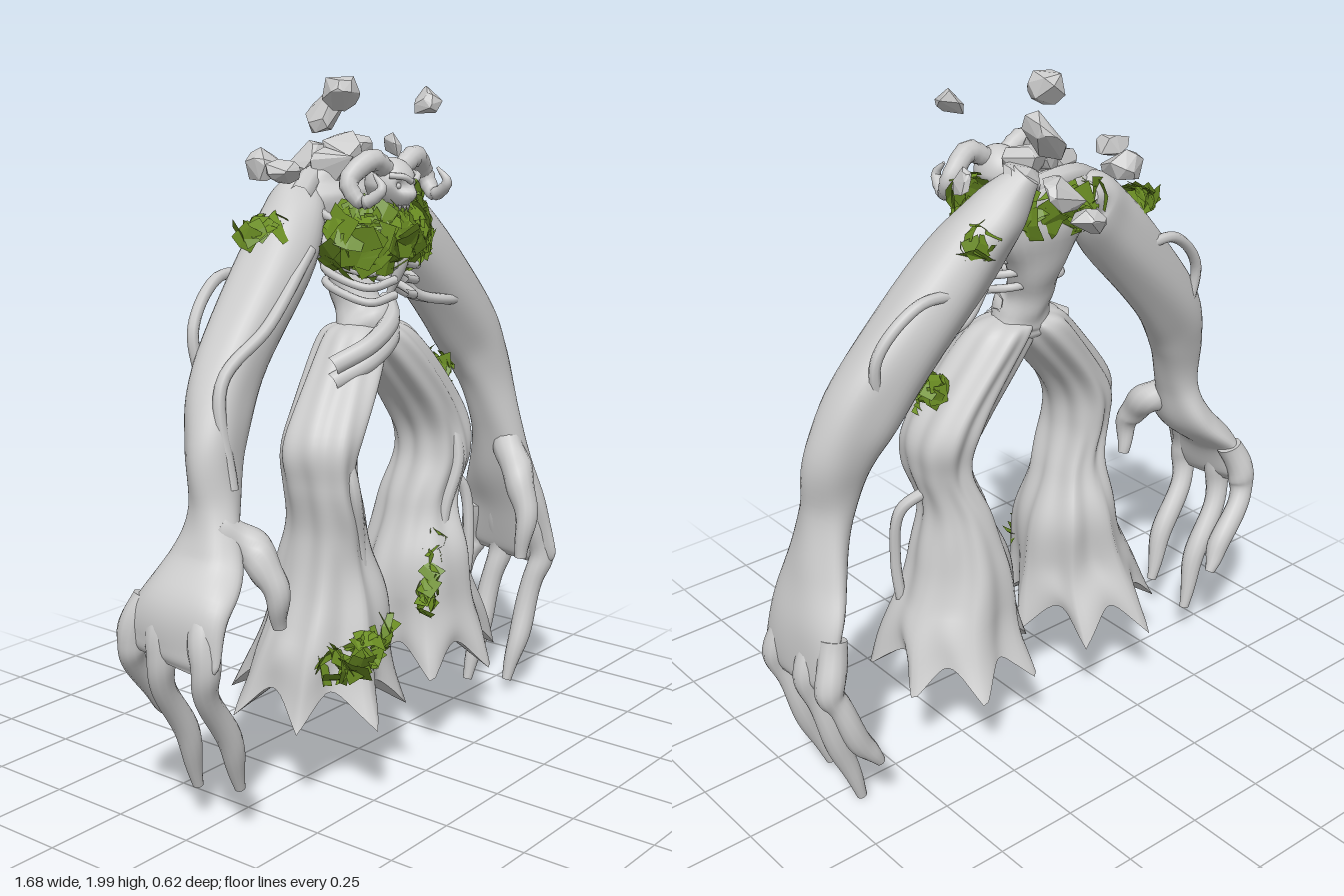
import * as THREE from 'three';
import { mergeGeometries } from 'three/addons/utils/BufferGeometryUtils.js';
import { ConvexGeometry } from 'three/addons/geometries/ConvexGeometry.js';

const V = (x, y, z) => new THREE.Vector3(x, y, z);
const { sin, cos, abs, max, min, exp, PI } = Math;
const bark = new THREE.MeshStandardMaterial({ color: 0xcccccc });
const stone = new THREE.MeshStandardMaterial({ color: 0xcccccc, flatShading: true });
const moss = new THREE.MeshStandardMaterial({ color: 0x6b8e23, side: THREE.DoubleSide, flatShading: true });

let seed = 7;
const rnd = () => (seed = (seed * 16807) % 2147483647) / 2147483647;
const jit = (s) => (rnd() - 0.5) * 2 * s;
const ball = () => V(jit(1), jit(1), jit(1)).normalize();

function add(parent, name, geo, mat = bark) {
  const m = new THREE.Mesh(geo, mat);
  m.name = name;
  parent.add(m);
  return m;
}

// Organic skin over stations [x, y, z, radius, depth factor].
// shape(t, angle) returns [radius factor, vertical shift]; flat keeps rings horizontal.
function limb(st, { rows = 32, sides = 12, shape = () => [1, 0], flat = false, apex = 0 } = {}) {
  const path = new THREE.CatmullRomCurve3(st.map((s) => V(s[0], s[1], s[2])), false, 'catmullrom');
  const radii = new THREE.CatmullRomCurve3(st.map((s) => V(s[3], s[3] * (s[4] ?? 1), 0)), false, 'catmullrom');
  const pos = [], idx = [];
  for (let i = 0; i <= rows; i++) {
    const t = i / rows, c = path.getPoint(t), r = radii.getPoint(t);
    const T = flat ? V(0, -1, 0) : path.getTangent(t);
    const N = V(0, 0, 1).addScaledVector(T, -T.z).normalize();
    const B = T.clone().cross(N);
    for (let j = 0; j < sides; j++) {
      const a = (j / sides) * PI * 2, [f, dy] = shape(t, a);
      const p = c.clone().addScaledVector(B, cos(a) * r.x * f).addScaledVector(N, sin(a) * r.y * f);
      pos.push(p.x, p.y + dy, p.z);
    }
  }
  for (let i = 0; i < rows; i++) for (let j = 0; j < sides; j++) {
    const k = (j + 1) % sides, a = i * sides + j, b = i * sides + k;
    idx.push(a, a + sides, b, b, a + sides, b + sides);
  }
  // End caps on their own vertices so the rims stay crisp; apex hollows the lower one
  for (const end of [0, 1]) {
    const base = pos.length / 3, from = end * rows * sides * 3, c = path.getPoint(end);
    pos.push(...pos.slice(from, from + sides * 3), c.x, c.y + end * apex, c.z);
    for (let j = 0; j < sides; j++) {
      const k = (j + 1) % sides;
      idx.push(base + sides, base + (end ? k : j), base + (end ? j : k));
    }
  }
  const g = new THREE.BufferGeometry();
  g.setAttribute('position', new THREE.Float32BufferAttribute(pos, 3));
  g.setIndex(idx);
  g.computeVertexNormals();
  return g;
}

const tube = (pts, r) =>
  new THREE.TubeGeometry(new THREE.CatmullRomCurve3(pts.map((p) => V(...p))), 28, r, 8);

// Muscled, slightly twisted wood
const gnarl = (amp, ph) => (t, a) =>
  [1 + amp * (sin(3 * a + 9 * t + ph) + 0.6 * sin(5 * a - 14 * t + ph) + 0.8 * sin(22 * t + ph + a) + 0.5 * sin(41 * t + 2 * a)), 0];

// Root skirt: grain deepens into seven folds that end in a ragged hem
const skirt = (ph) => (t, a) => {
  const low = max(0, 2 * t - 1), hem = max(0, t * 5 - 4), spike = abs(cos(3.5 * a + ph));
  const grain = 0.06 * (sin(4 * a + 8 * t + ph) + 0.7 * sin(9 * a - 5 * t + ph) + 0.8 * sin(24 * t + a + ph)) * (1 - 0.6 * low);
  return [1 + grain + low * (0.09 - 0.18 * spike) + hem * hem * (0.06 - 0.16 * spike), hem * 0.1 * (spike - 0.1)];
};

// Patch of jagged leaves scattered over an ellipsoid; keep() selects directions
function leaves(c, r, n, size, keep = () => true) {
  const list = [];
  while (list.length < n) {
    const d = ball();
    if (!keep(d)) continue;
    const g = new THREE.PlaneGeometry(size * (0.7 + rnd()), size * (0.7 + rnd()), 2, 1);
    const p = g.attributes.position;
    for (let i = 0; i < p.count; i++)
      p.setXYZ(i, p.getX(i) + jit(size / 7), p.getY(i) + jit(size / 7), i % 3 === 1 ? size / 8 : 0);
    g.rotateZ(rnd() * 6);
    g.applyQuaternion(new THREE.Quaternion().setFromUnitVectors(V(0, 0, 1), d.clone().addScaledVector(ball(), 0.4).normalize()));
    list.push(g.translate(c[0] + d.x * r[0], c[1] + d.y * r[1], c[2] + d.z * r[2]));
  }
  return mergeGeometries(list);
}

// Angular stone: hull of points on a squashed ball
function rock([x, y, z, w, h, tilt = 0.3]) {
  const pts = Array.from({ length: 18 }, () => ball().multiply(V(w, h, (w + h) / 2)));
  return new ConvexGeometry(pts).rotateZ(tilt).translate(x, y, z);
}

export function createModel() {
  seed = 7;
  const root = new THREE.Group();
  root.name = 'treeGiant';

  // Trunk and hips
  add(root, 'trunk', limb([[0, 1.23, 0.03, 0.05], [0, 1.3, 0.02, 0.085], [0, 1.37, -0.01, 0.065],
    [0, 1.5, -0.06, 0.1, 0.6], [0, 1.66, -0.07, 0.19, 0.45], [0, 1.74, -0.06, 0.1, 0.5]],
  { sides: 24, shape: gnarl(0.05, 1) }));

  for (const s of [1, -1]) {
    const side = s > 0 ? 'left' : 'right';
    // The right arm is a little tighter and leaner, and its hand hangs higher
    const pose = ([x, y, z, r, d]) => s > 0 ? [x, y, z, r, d] :
      [-x * (y > 0.3 && y < 0.7 ? 1.03 : 0.97), y + max(-0.03, min(0.1, (0.86 - y) * 0.3)), z, r * (y > 0.9 && y < 1.4 ? 0.88 : 1), d];

    // Leg
    add(root, side + 'Leg', limb([[0.02, 1.32, 0.02, 0.04], [0.06, 1.27, 0.03, 0.1], [0.23, 1.05, 0.06, 0.1, 1.2],
      [0.26, 0.9, 0.07, 0.083, 1.4], [0.22, 0.75, 0.06, 0.095, 1.3], [0.21, 0.6, 0.05, 0.14, 1.15],
      [0.23, 0.42, 0.05, 0.185], [0.245, 0.25, 0.03, 0.215, 1.1]].map(([x, ...r]) => [s * x, ...r]),
    { rows: 56, sides: 84, flat: true, apex: 0.13, shape: skirt(1 + s) }));

    // Arm ending in a broad flat palm
    add(root, side + 'Arm', limb([[0.1, s > 0 ? 1.77 : 1.7, -0.13, 0.04], [0.17, 1.67, -0.09, 0.08], [0.28, 1.54, -0.06, 0.1],
      [0.53, 1.27, -0.03, 0.11, 0.95], [0.63, 1.1, 0, 0.1, 0.85], [0.665, 0.92, 0.03, 0.068, 1.2],
      [0.71, 0.74, 0.035, 0.06, 2], [0.755, 0.6, 0.03, 0.05, 3.1], [0.78, 0.47, 0.015, 0.034, 5], [0.785, 0.43, 0.01, 0.015, 9]].map(pose),
    { rows: 64, sides: 40, shape: gnarl(0.035, 1 - s) }));

    // Fingers and thumb
    const knobbly = { shape: (t, a) => [1 + 0.1 * sin(16 * t + a), 0] };
    const hand = new THREE.Group();
    hand.name = side + 'Hand';
    root.add(hand);
    for (let i = 0; i < 3; i++) {
      const z = [0.14, -0.015, -0.12][i], tip = [0.04, 0.005, 0.19][i];
      add(hand, 'finger', limb([[0.75, 0.6, z * 0.8, 0.04], [0.785, 0.47, z, 0.042],
        [0.765, 0.35 + tip / 4, z - 0.015, 0.034], [0.71, 0.17 + tip / 2, z - 0.03, 0.034], [0.66, tip, z - 0.04, 0.015]].map(pose), knobbly));
    }
    add(hand, 'thumb', limb([[0.68, 0.87, 0.06, 0.045], [0.63, 0.78, 0.13, 0.05],
      [0.59, 0.66, 0.2, 0.038], [0.57, 0.5, 0.2, 0.018]].map(pose), knobbly));

    // Ribs, getting shorter downwards
    for (let i = 0; i < 6; i++) {
      const y = 1.64 - i * 0.042, w = s * (0.17 - i * 0.009);
      add(root, 'rib', tube([[0, y, -0.06], [w * 0.7, y, -0.05], [w, y - 0.02, 0.03],
        [w * 0.8, y - 0.045, 0.12], [s * 0.02, y - 0.03, 0.145]], 0.012));
    }

    // Curled horn, eye, brow and teeth
    add(root, 'horn', limb([[0.03, 1.74, 0.12, 0.027], [0.1, 1.772, 0.12, 0.03], [0.172, 1.72, 0.1, 0.027],
      [0.165, 1.665, 0.14, 0.02], [0.15, 1.7, 0.195, 0.014], [0.145, 1.74, 0.165, 0.004]].map(([x, ...r]) => [s * x, ...r]),
    { shape: (t) => [1 + 0.06 * sin(90 * t), 0] }));
    add(root, 'eye', new THREE.SphereGeometry(0.009, 10, 8)).position.set(s * 0.028, 1.7, 0.157);
    add(root, 'brow', tube([[s * 0.008, 1.712, 0.188], [s * 0.03, 1.725, 0.182], [s * 0.058, 1.73, 0.15]], 0.009));
    for (let i = 0; i < 3; i++)
      add(root, 'tooth', new THREE.ConeGeometry(0.006, 0.02, 6).rotateX(PI)).position.set(s * (0.007 + i * 0.012), 1.637, 0.165 - i * 0.008);

    // Vines looping off the upper arm and roots running down the shin
    add(root, 'armVine', tube([[0.33, 1.5, -0.13], [0.46, 1.5, -0.13], [0.58, 1.38, -0.11], [0.56, 1.2, -0.09]].map((p) => pose(p).slice(0, 3)), 0.016));
    add(root, 'shinRoot', tube([[s * 0.24, 1.1, 0.1], [s * 0.25, 0.9, 0.175], [s * 0.2, 0.7, 0.16], [s * 0.23, 0.36, 0.2]], 0.02));
  }

  // Vines on one side only, and the belt across the hips
  for (let i = 0; i < 2; i++) {
    const d = i * 0.045;
    add(root, 'beltVine', tube([[-0.22, 1.22 - d, 0.08], [-0.12, 1.27 - d, 0.13], [0, 1.32 - d, 0.11], [0.09, 1.36 - d, 0.03]], 0.028));
    add(root, 'chestVine', tube([[0.18, 1.5 - d, -d], [0.25, 1.37, -d], [0.37, 1.33, 0.04 - d], [0.49, 1.33, 0.04 - d]], 0.016));
  }
  add(root, 'forearmVine', tube([[-0.25, 1.54, 0.03], [-0.46, 1.36, 0.06], [-0.62, 1.23, 0.04], [-0.63, 0.96, 0.08]], 0.017));
  add(root, 'legVine', tube([[0.3, 0.83, 0.07], [0.37, 0.77, 0.11], [0.38, 0.6, 0.13], [0.36, 0.4, 0.12]], 0.017));
  add(root, 'neckRoot', tube([[-0.2, 1.67, -0.05], [-0.08, 1.72, -0.09], [0.16, 1.7, -0.1]], 0.035));

  // Skull with sunken eyes and a tapered muzzle
  const skull = new THREE.SphereGeometry(1, 40, 32), sp = skull.attributes.position;
  for (let i = 0; i < sp.count; i++) {
    const x = sp.getX(i), y = sp.getY(i), z = sp.getZ(i);
    const eye = exp(-((abs(x) - 0.42) ** 2 + y * y) * 28), muzzle = exp(-(x * x + (y + 0.35) ** 2) * 10);
    sp.setXYZ(i, x * (1 + min(y, 0) * 0.45), y, z > 0 ? z - 0.35 * eye + 0.25 * muzzle : z);
  }
  skull.scale(0.066, 0.075, 0.075).translate(0, 1.7, 0.11);
  skull.computeVertexNormals();
  add(root, 'skull', skull);
  add(root, 'breastbone', limb([[0, 1.62, 0.14, 0.025], [0, 1.5, 0.15, 0.02], [0, 1.4, 0.11, 0.01]]));

  // Moss patches: a pad on the chest, then leaves
  add(root, 'chestMossPad', new THREE.SphereGeometry(1, 18, 10, 0, PI, 0.55, 1.7).scale(0.18, 0.1, 0.1).translate(-0.01, 1.57, 0.08), moss);
  add(root, 'chestMoss', leaves([-0.02, 1.56, 0.06], [0.19, 0.1, 0.12], 110, 0.065, (d) => d.z > -0.2 && d.y < 0.8), moss);
  add(root, 'backMoss', leaves([-0.03, 1.65, -0.08], [0.16, 0.06, 0.08], 45, 0.07, (d) => d.z < 0.1), moss);
  add(root, 'rightShoulderMoss', leaves([-0.32, 1.58, -0.06], [0.09, 0.03, 0.05], 26, 0.05, (d) => d.y > -0.2), moss);
  add(root, 'leftShoulderMoss', leaves([0.26, 1.62, -0.13], [0.045, 0.045, 0.03], 22, 0.045), moss);
  add(root, 'collarMoss', leaves([0.14, 1.65, 0.03], [0.05, 0.09, 0.07], 26, 0.055), moss);
  add(root, 'thighMoss', leaves([0.285, 1.13, 0.06], [0.03, 0.06, 0.05], 24, 0.04), moss);
  for (let i = 0; i < 5; i++) {
    add(root, 'shinMoss', leaves([0.09 + i * 0.018, 0.47 + i * 0.045, 0.18 - i * 0.005], [0.02, 0.025, 0.025], 9, 0.035), moss);
    add(root, 'footMoss', leaves([-0.38 + i * 0.054, 0.43 + i * 0.012, 0.21 + 0.035 * sin(i)], [0.03, 0.03, 0.03], 8, 0.06), moss);
  }

  // Floating stones, then those heaped on the shoulders
  [[-0.07, 1.95, -0.01, 0.055, 0.055], [0.1, 1.89, -0.2, 0.045, 0.08, -0.6], [0.16, 1.92, 0.12, 0.03, 0.055, -0.7],
    [-0.3, 1.75, -0.02, 0.055, 0.035, -0.3], [0.29, 1.78, -0.1, 0.018, 0.045], [0.1, 1.75, -0.26, 0.075, 0.05],
    [-0.03, 1.64, -0.22, 0.06, 0.04], [-0.19, 1.75, -0.18, 0.065, 0.05],
  ].forEach((r) => add(root, 'floatingStone', rock(r), stone));
  for (let i = 0; i < 4; i++)
    add(root, 'shoulderStone', rock([-0.07 + i * 0.06, 1.76 + 0.03 * sin(i * 1.2), -0.03 - 0.02 * i, 0.075, 0.055]), stone);

  return root;
}
